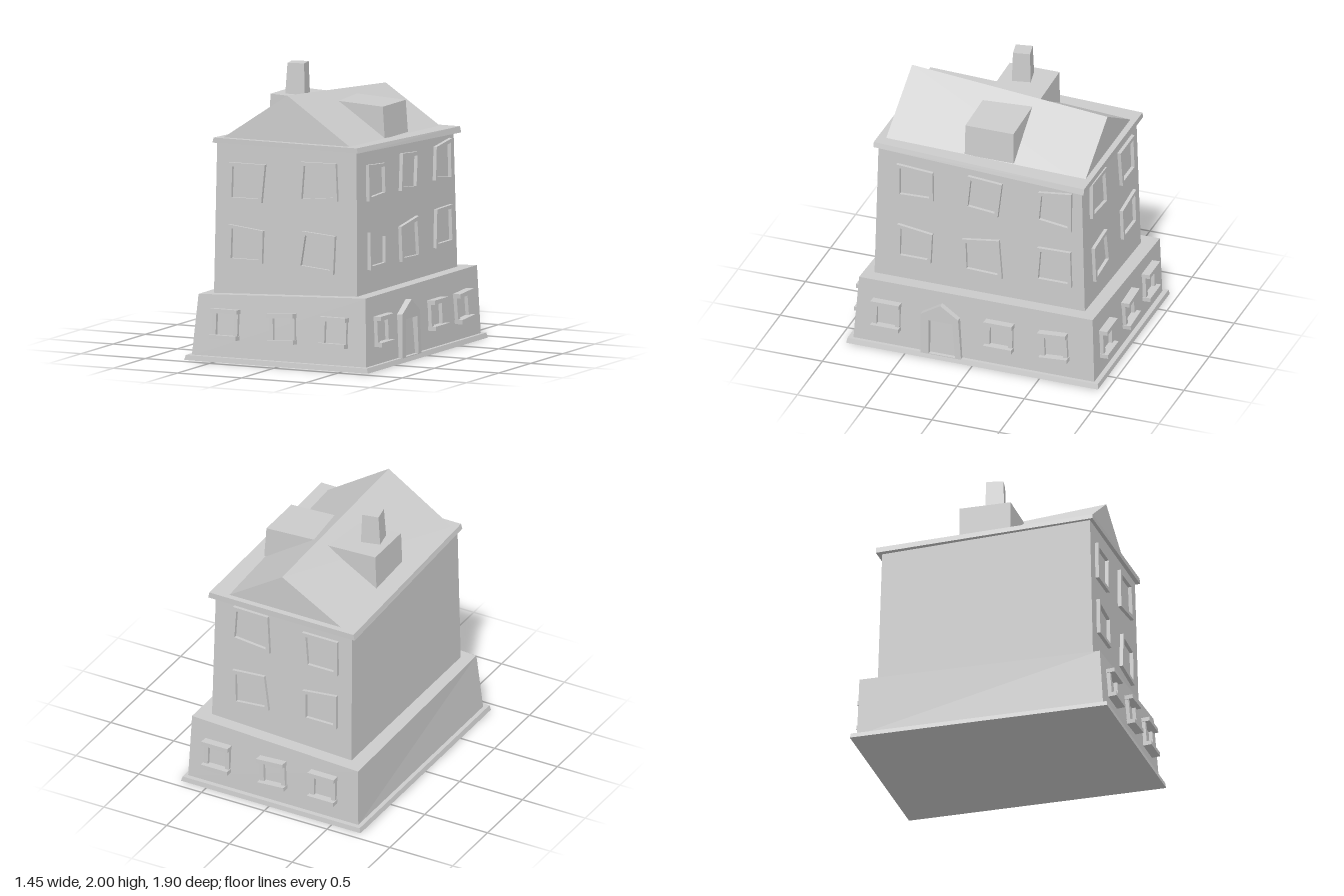
import * as THREE from 'three';

const mat = new THREE.MeshStandardMaterial({ color: 0xcccccc, flatShading: true });

function add(parent, name, geo) {
  const m = new THREE.Mesh(geo, mat);
  m.name = name;
  parent.add(m);
  return m;
}

// Solid between two matching loops, ordered counter-clockwise seen from the end loop's side
function loft(a, b) {
  const p = [], n = a.length;
  const tri = (...v) => v.forEach(q => p.push(...q));
  for (let i = 0; i < n; i++) {
    const j = (i + 1) % n;
    tri(a[i], a[j], b[j]);
    tri(a[i], b[j], b[i]);
    if (i > 0 && i < n - 1) {
      tri(b[0], b[i], b[j]);
      tri(a[0], a[j], a[i]);
    }
  }
  const g = new THREE.BufferGeometry();
  g.setAttribute('position', new THREE.Float32BufferAttribute(p, 3));
  g.computeVertexNormals();
  return g;
}

// Loop order: front left, front right, back right, back left as seen from the front
const rect = (x0, x1, z0, z1, y) => [[x0, y, z1], [x1, y, z1], [x1, y, z0], [x0, y, z0]];

// Plate with an opening, standing out from a wall plane (z = 0)
function plate(outer, inner, depth) {
  const s = new THREE.Shape(outer.map(p => new THREE.Vector2(...p)));
  s.holes.push(new THREE.Path(inner.map(p => new THREE.Vector2(...p))));
  const g = new THREE.ExtrudeGeometry(s, { depth: depth + 0.03, bevelEnabled: false });
  return g.translate(0, 0, -0.03);
}

// Crooked square window frame from four corners
function crookedFrame(parent, quad) {
  const cx = quad.reduce((s, p) => s + p[0], 0) / 4;
  const cy = quad.reduce((s, p) => s + p[1], 0) / 4;
  const inner = quad.map(([x, y]) => [cx + (x - cx) * 0.8, cy + (y - cy) * 0.8]);
  add(parent, 'upperWindowFrame', plate(quad, inner, 0.026));
}

// Ground floor window: two jambs with a wider lintel and sill
function groundWindow(parent, x, y, tilt) {
  const w = new THREE.Group();
  w.name = 'groundWindow';
  const bar = (name, bw, bh, d, bx, by) =>
    add(w, name, new THREE.BoxGeometry(bw, bh, d + 0.04).translate(bx, by, (d - 0.04) / 2));
  bar('lintel', 0.21, 0.03, 0.06, 0, 0.092);
  bar('sill', 0.21, 0.03, 0.06, 0, -0.092);
  for (const s of [-1, 1]) bar('jamb', 0.032, 0.16, 0.026, s * 0.084, 0);
  w.position.set(x, y, 0);
  w.rotation.z = tilt;
  parent.add(w);
}

// Group lying on a leaning wall: local x along the wall, local z outwards
function facade(parent, name, yaw, dist, lean) {
  const f = new THREE.Group();
  f.name = name;
  f.rotation.order = 'YXZ';
  f.rotation.set(-lean, yaw, 0);
  f.position.set(Math.sin(yaw) * dist, 0, Math.cos(yaw) * dist);
  parent.add(f);
  return f;
}

export function createModel() {
  const house = new THREE.Group();
  house.name = 'crookedHouse';

  // Plinth and ground floor
  add(house, 'plinth', loft(rect(-0.73, 0.70, -0.935, 0.935, 0), rect(-0.72, 0.69, -0.93, 0.93, 0.035)));
  add(house, 'groundFloor', loft(
    rect(-0.69, 0.665, -0.895, 0.895, 0.03),
    [[-0.655, 0.46, 0.86], [0.645, 0.515, 0.86], [0.645, 0.515, -0.875], [-0.68, 0.46, -0.88]]));

  // Upper floors, narrowing slightly and sloping to the back
  add(house, 'upperFloors', loft(
    rect(-0.572, 0.541, -0.78, 0.786, 0.45),
    [[-0.56, 1.53, 0.76], [0.525, 1.53, 0.76], [0.525, 1.475, -0.75], [-0.56, 1.475, -0.75]]));

  // Eaves slab
  const eaves = (yFront, yBack, o) => [
    [-0.575 - o, yFront, 0.785], [0.54 + o, yFront, 0.79],
    [0.56 + o, yBack, -0.78], [-0.59 - o, yBack, -0.785]];
  add(house, 'eaves', loft(eaves(1.52, 1.457, 0.01), eaves(1.556, 1.5, 0)));

  // Gable roof with a ridge dropping to the back
  add(house, 'roof', loft(
    [[-0.52, 1.47, -0.74], [0.47, 1.47, -0.74], [0, 1.775, -0.745]],
    [[-0.53, 1.55, 0.73], [0.46, 1.55, 0.73], [-0.035, 1.88, 0.72]]));

  // Flat-topped dormers
  add(house, 'rightSideDormer', loft(
    rect(-0.46, -0.06, -0.22, 0.15, 1.53),
    [[-0.45, 1.787, 0.15], [-0.06, 1.772, 0.15], [-0.06, 1.772, -0.22], [-0.45, 1.787, -0.22]]));
  add(house, 'leftSideDormer', loft(
    rect(0.04, 0.44, -0.21, 0.152, 1.53),
    [[0.04, 1.775, 0.152], [0.425, 1.755, 0.152], [0.425, 1.755, -0.205], [0.04, 1.775, -0.205]]));

  // Twisted chimney
  const chimney = add(house, 'chimney', loft(
    rect(-0.075, 0.07, -0.068, 0.068, 1.74), rect(-0.058, 0.062, -0.06, 0.06, 2)));
  chimney.position.set(-0.312, 0, 0);
  chimney.rotation.y = 0.19;

  // Upper windows: front and back
  const endWindows = [
    [[-0.46, 1.12], [-0.20, 1.12], [-0.175, 1.39], [-0.455, 1.39]],
    [[0.08, 1.14], [0.39, 1.17], [0.375, 1.435], [0.10, 1.43]],
    [[-0.46, 0.695], [-0.19, 0.695], [-0.185, 0.925], [-0.455, 0.955]],
    [[0.08, 0.68], [0.365, 0.655], [0.375, 0.925], [0.12, 0.945]]];
  const front = facade(house, 'frontUpperWindows', 0, 0.797, 0.0245);
  const back = facade(house, 'backUpperWindows', Math.PI, 0.791, 0.0285);
  for (const q of endWindows) {
    crookedFrame(front, q);
    crookedFrame(back, q.map(([x, y]) => [-x, y]).reverse());
  }

  // Upper windows: left side (local x runs towards the back)
  const side = facade(house, 'leftUpperWindows', Math.PI / 2, 0.547, 0.0148);
  [
    [[-0.62, 1.16], [-0.345, 1.17], [-0.35, 1.395], [-0.62, 1.415]],
    [[-0.115, 1.165], [0.135, 1.14], [0.165, 1.405], [-0.09, 1.425]],
    [[0.415, 1.165], [0.68, 1.13], [0.68, 1.43], [0.435, 1.40]],
    [[-0.615, 0.675], [-0.36, 0.675], [-0.35, 0.905], [-0.61, 0.94]],
    [[-0.12, 0.665], [0.17, 0.655], [0.145, 0.955], [-0.13, 0.915]],
    [[0.41, 0.69], [0.685, 0.69], [0.675, 0.965], [0.43, 0.96]],
  ].forEach(q => crookedFrame(side, q));

  // Ground floor windows
  for (const [name, yaw, lean, dist] of [
    ['frontGroundWindows', 0, 0.073, 0.897], ['backGroundWindows', Math.PI, 0.035, 0.896]]) {
    const f = facade(house, name, yaw, dist, lean);
    groundWindow(f, -0.43, 0.265, 0);
    groundWindow(f, 0.013, 0.262, 0.06);
    groundWindow(f, 0.415, 0.265, 0);
  }
  const low = facade(house, 'leftGroundWindows', Math.PI / 2, 0.667, 0.042);
  groundWindow(low, -0.647, 0.267, 0);
  groundWindow(low, 0.192, 0.267, 0);
  groundWindow(low, 0.597, 0.265, 0.07);

  // Pointed door surround
  const door = facade(house, 'doorway', Math.PI / 2, 0.66, 0);
  add(door, 'doorSurround', plate(
    [[-0.385, 0.03], [-0.085, 0.03], [-0.107, 0.34], [-0.24, 0.43], [-0.385, 0.34]],
    [[-0.325, 0.035], [-0.13, 0.035], [-0.15, 0.3], [-0.325, 0.3]], 0.033));

  return house;
}
